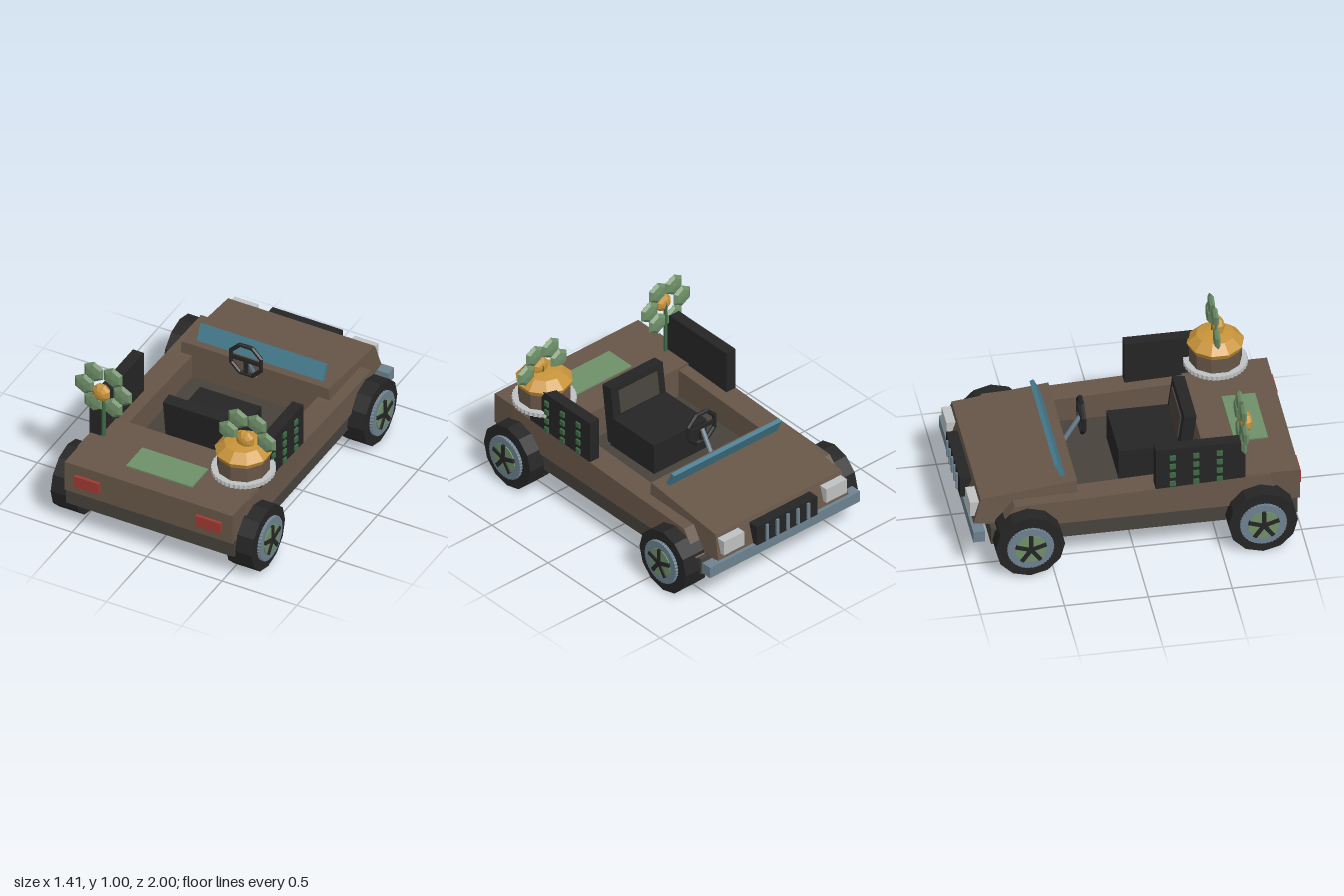
import * as THREE from 'three';

const mat = (name, color) => {
  const m = new THREE.MeshStandardMaterial({ color });
  m.name = name;
  return m;
};

export function createModel() {
  const brown = mat('brown', 0x675648), dark = mat('dark brown', 0x47423c), black = mat('black', 0x252525);
  const green = mat('leaf green', 0x6f9069), stemGreen = mat('stem green', 0x3d6a46), gold = mat('gold', 0xc8943a);
  const steel = mat('steel', 0x6d8290), blue = mat('glass blue', 0x457b8f), pale = mat('pale grey', 0xbfc2c2);
  const red = mat('red', 0xa03a32);

  const model = new THREE.Group();
  model.name = 'openCar';

  // Adds a faceted mesh
  const add = (name, geo, material, x = 0, y = 0, z = 0, parent = model) => {
    const flat = geo.index ? geo.toNonIndexed() : geo;
    flat.computeVertexNormals();
    const mesh = new THREE.Mesh(flat, material);
    mesh.name = name;
    mesh.position.set(x, y, z);
    parent.add(mesh);
    return mesh;
  };
  // Box given by its limits
  const box = (name, material, x0, x1, y0, y1, z0, z1, parent = model) =>
    add(name, new THREE.BoxGeometry(x1 - x0, y1 - y0, z1 - z0), material,
      (x0 + x1) / 2, (y0 + y1) / 2, (z0 + z1) / 2, parent);
  // Side profile of [z, y] points, extruded across x; upper vertices pulled in by taper
  const prism = (name, material, pts, x0, x1, taper = 1) => {
    const geo = new THREE.ExtrudeGeometry(new THREE.Shape(pts.map(p => new THREE.Vector2(...p))),
      { depth: x1 - x0, bevelEnabled: false });
    geo.rotateY(-Math.PI / 2).translate(x1, 0, 0);
    const p = geo.attributes.position;
    for (let i = 0; i < p.count; i++) {
      if (p.getY(i) > 0.4 && Math.abs(p.getX(i)) > 0.45) p.setX(i, p.getX(i) * taper);
    }
    return add(name, geo, material);
  };
  // Disc with a finely toothed edge, facing +z
  const toothed = (r, depth, teeth) => {
    const pts = [];
    for (let i = 0; i < teeth * 2; i++) {
      const a = (i * Math.PI) / teeth, q = i % 2 ? r : r * 0.965;
      pts.push(new THREE.Vector2(Math.cos(a) * q, Math.sin(a) * q));
    }
    return new THREE.ExtrudeGeometry(new THREE.Shape(pts), { depth, bevelEnabled: false });
  };

  // Body
  box('lowerBody', dark, -0.56, 0.56, 0.175, 0.285, -0.86, 0.965);
  box('rearDeck', brown, -0.56, 0.56, 0.28, 0.484, 0.46, 0.98);
  prism('hood', brown, [[-0.335, 0.286], [-0.335, 0.522], [-0.91, 0.457], [-0.955, 0.3], [-0.86, 0.286]], -0.508, 0.508, 0.965);
  const rail = [[0.865, 0.286], [0.8, 0.482], [-0.3, 0.442], [-0.72, 0.432], [-0.835, 0.286]];
  prism('leftSide', brown, rail, 0.42, 0.577, 0.985);
  prism('rightSide', brown, rail, -0.577, -0.42, 0.985);
  box('rearPlate', green, -0.22, 0.22, 0.484, 0.493, 0.65, 0.85);

  // Front end
  box('bumper', steel, -0.585, 0.585, 0.22, 0.293, -0.97, -0.9);
  box('grille', black, -0.235, 0.235, 0.3, 0.432, -0.988, -0.92);
  for (let i = -2; i <= 2; i++) box('grilleBar', steel, i * 0.08 - 0.01, i * 0.08 + 0.01, 0.312, 0.42, -1, -0.98);
  for (const s of [-1, 1]) {
    const c = s * 0.4, t = s * 0.405;
    box('headlight', pale, c - 0.08, c + 0.08, 0.335, 0.432, -0.972, -0.91);
    box('tailLight', red, t - 0.083, t + 0.083, 0.34, 0.416, 0.97, 1);
  }
  const glass = add('windshield', new THREE.BoxGeometry(0.84, 0.12, 0.026), blue, 0, 0.55, -0.423);
  glass.rotation.x = -0.42;

  // Wheels
  for (const s of [-1, 1]) for (const z of [0.742, -0.645]) {
    const wheel = new THREE.Group();
    wheel.name = 'wheel';
    wheel.position.set(s * 0.5, 0.208, z);
    wheel.rotation.y = s * Math.PI / 2;
    model.add(wheel);
    add('tyre', new THREE.CylinderGeometry(0.207, 0.207, 0.17, 12).rotateX(Math.PI / 2), black, 0, 0, 0.085, wheel);
    add('rim', toothed(0.14, 0.025, 40), steel, 0, 0, 0.165, wheel);
    add('hubDisc', new THREE.CylinderGeometry(0.093, 0.093, 0.012, 20).rotateX(Math.PI / 2), green, 0, 0, 0.19, wheel);
    for (let i = 0; i < 5; i++) {
      const spoke = new THREE.BoxGeometry(0.024, 0.095, 0.014).translate(0, 0.0475, 0);
      add('spoke', spoke.rotateZ(i * Math.PI * 0.4), black, 0, 0, 0.198, wheel);
    }
  }

  // Seat
  box('seatBase', black, -0.205, 0.205, 0.285, 0.488, -0.037, 0.35);
  const back = new THREE.Group();
  back.name = 'seatBack';
  back.position.set(0, 0.36, 0.345);
  back.rotation.x = 0.13;
  model.add(back);
  box('backrest', black, -0.203, 0.203, -0.06, 0.33, -0.035, 0.04, back);
  box('backrestPanel', dark, -0.15, 0.15, 0.14, 0.29, -0.043, -0.034, back);

  // Steering wheel on its column
  const steering = new THREE.Group();
  steering.name = 'steeringWheel';
  steering.position.set(0, 0.631, -0.225);
  model.add(steering);
  add('steeringRim', new THREE.TorusGeometry(0.108, 0.014, 6, 8).rotateZ(Math.PI / 8), black, 0, 0, 0, steering);
  box('steeringBar', black, -0.1, 0.1, -0.012, 0.012, -0.008, 0.008, steering);
  box('steeringStem', black, -0.012, 0.012, -0.1, 0, -0.008, 0.008, steering);
  const path = new THREE.LineCurve3(new THREE.Vector3(0, 0.625, -0.23), new THREE.Vector3(0, 0.44, -0.34));
  add('steeringColumn', new THREE.TubeGeometry(path, 1, 0.014, 8), steel);

  // Side speakers with a grid of studs
  for (const s of [-1, 1]) {
    const c = s * 0.532, d = s * 0.57;
    box('sidePanel', black, c - 0.036, c + 0.036, 0.43, 0.737, 0.12, 0.655);
    for (let i = 0; i < 3; i++) for (let j = 0; j < 4; j++) {
      const z = 0.22 + i * 0.14, y = 0.49 + j * 0.062;
      box('stud', stemGreen, d - 0.01, d + 0.01, y - 0.016, y + 0.016, z - 0.017, z + 0.017);
    }
  }

  // Flowers
  for (const s of [-1, 1]) {
    const flower = new THREE.Group();
    flower.name = 'flower';
    flower.position.set(s * 0.48, 0.82, 0.645);
    model.add(flower);
    add('stem', new THREE.CylinderGeometry(0.012, 0.012, 0.36, 6), stemGreen, 0, -0.17, 0, flower);
    for (let i = 0; i < 6; i++) {
      const a = (i * Math.PI) / 3;
      const petal = new THREE.SphereGeometry(0.073, 6, 4).rotateX(Math.PI / 2).rotateZ(Math.PI / 6).scale(1, 1, 0.3);
      add('petal', petal, green, Math.cos(a) * 0.127, Math.sin(a) * 0.127, 0, flower);
    }
    const eye = new THREE.SphereGeometry(0.06, 8, 6).rotateX(Math.PI / 2).rotateZ(Math.PI / 8).scale(1, 1, 0.65);
    add('flowerCentre', eye, gold, 0, 0, 0.028, flower);
  }

  // Round cake on a toothed plate
  add('plate', toothed(0.192, 0.026, 40).rotateX(-Math.PI / 2), pale, 0.457, 0.573, 0.655);
  add('cakeBase', new THREE.CylinderGeometry(0.158, 0.158, 0.1, 10), brown, 0.457, 0.647, 0.655);
  const dome = [[0, 0.69], [0.155, 0.69], [0.172, 0.73], [0.115, 0.782], [0.06, 0.792], [0, 0.795]];
  add('cakeTop', new THREE.LatheGeometry(dome.map(p => new THREE.Vector2(...p)), 10), gold, 0.457, 0, 0.655);

  return model;
}
